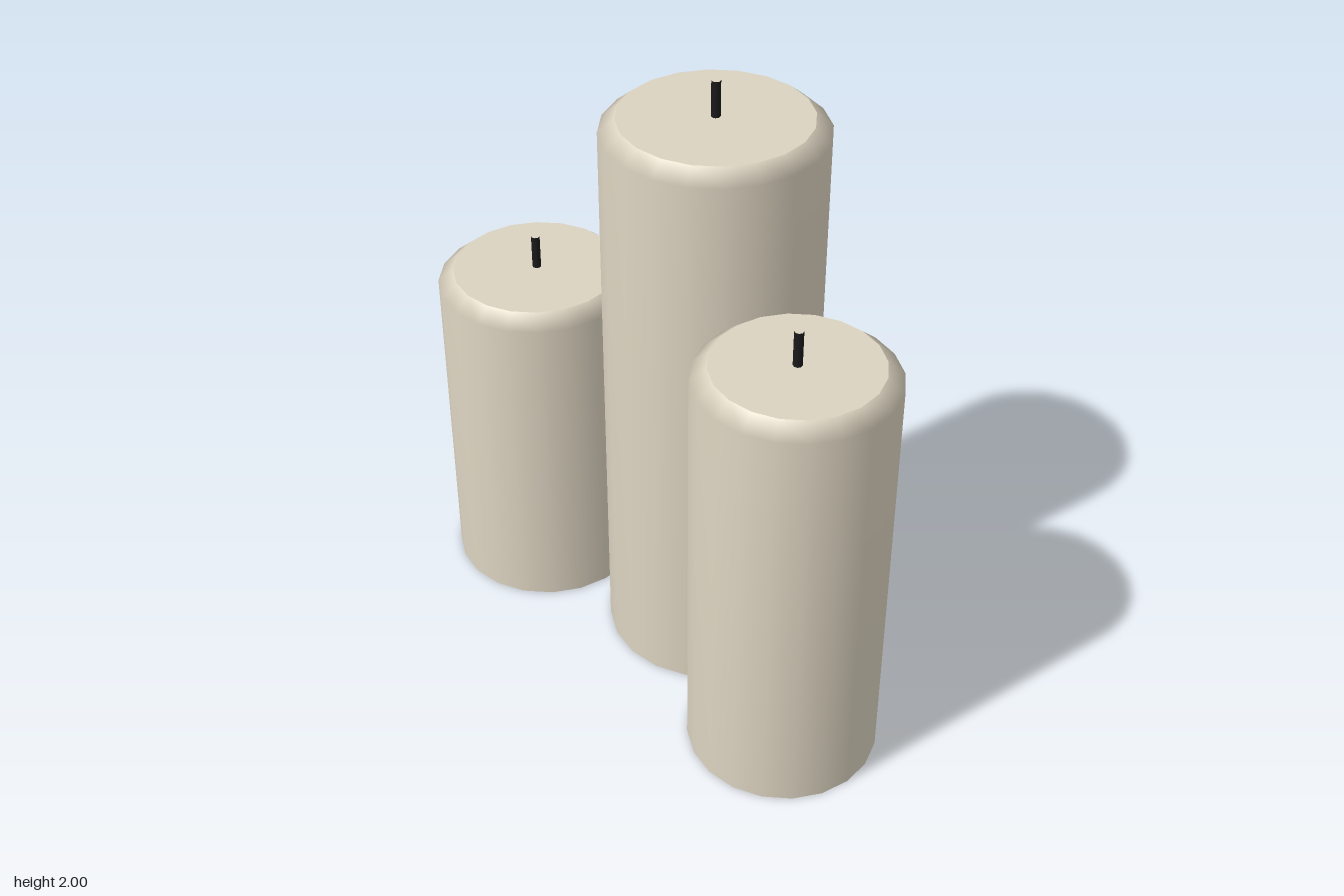
import * as THREE from 'three';

const wax = new THREE.MeshStandardMaterial({ color: 0xdcd3c0 });
wax.name = 'ivory wax';
const wickBlack = new THREE.MeshStandardMaterial({ color: 0x1a1a1a });
wickBlack.name = 'wick black';

const SIDES = 20;
const BEVEL_IN = 0.05, BEVEL_DOWN = 0.042;
const WICK_HEIGHT = 0.113;

// One pillar candle; doubled profile points keep the rims sharp
function candle(name, x, z, radius, height, wickRadius) {
  const group = new THREE.Group();
  group.name = name;
  group.position.set(x, 0, z);

  const rim = radius - BEVEL_IN;
  const profile = [
    [0, 0], [radius, 0], [radius, 0],
    [radius, height - BEVEL_DOWN],
    [rim, height], [rim, height], [0, height],
  ].map(([r, y]) => new THREE.Vector2(r, y));
  const bodyGeometry = new THREE.LatheGeometry(profile, SIDES);
  bodyGeometry.normalizeNormals();
  const body = new THREE.Mesh(bodyGeometry, wax);
  body.name = 'waxBody';

  // Wick is an open tube standing on the wax
  const wick = new THREE.Mesh(
    new THREE.CylinderGeometry(wickRadius, wickRadius, WICK_HEIGHT, 8, 1, true), wickBlack);
  wick.name = 'wick';
  wick.position.y = height + WICK_HEIGHT / 2;

  group.add(body, wick);
  return group;
}

export function createModel() {
  const model = new THREE.Group();
  model.name = 'pillarCandles';
  model.add(
    candle('shortCandle', -0.605, 0.1, 0.32, 1.134, 0.014),
    candle('tallCandle', 0.054, -0.085, 0.338, 1.887, 0.014),
    candle('mediumCandle', 0.62, 0.1, 0.3, 1.418, 0.014),
  );
  return model;
}
